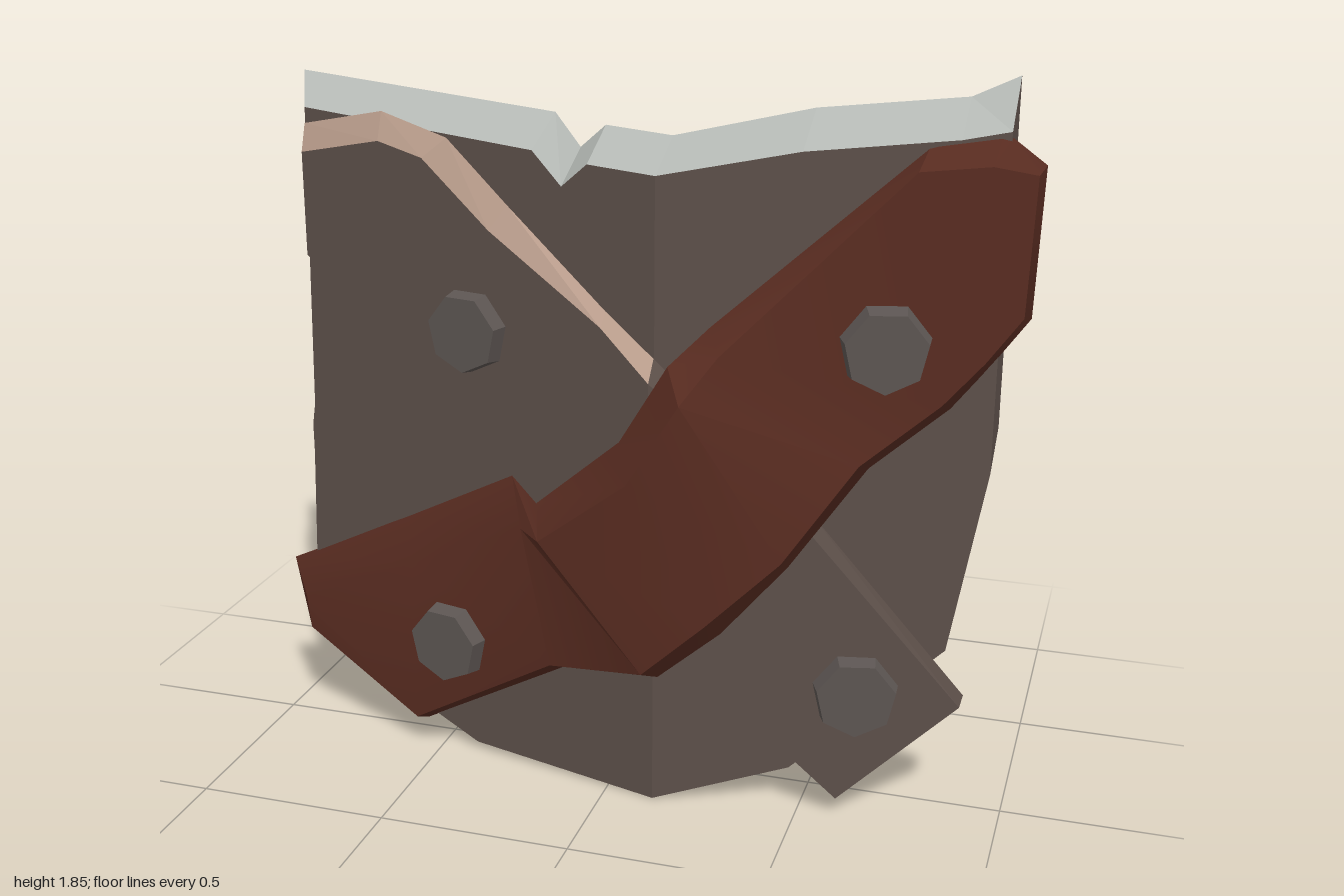
import * as THREE from 'three';
import { toCreasedNormals } from 'three/addons/utils/BufferGeometryUtils.js';

const mat = (name, color) => Object.assign(new THREE.MeshStandardMaterial({ color }), { name });

const FOLD = 0.13;
// Surface depth of the folded plate at x
const plateFront = x => 0.2 - (x < FOLD ? (FOLD - x) * 0.22 : (x - FOLD) * 0.25);
const plateBack = x => 0.05 - (x < FOLD ? (FOLD - x) * 0.22 : (x - FOLD) * 0.225);

// Folded slab from matching front and back outlines (counter-clockwise).
// Point 0 and point `low` lie on the fold; isWorn(i) picks material 1 for edge i.
function foldedSlab(front, back, low, isWorn) {
  const n = front.length, body = [], worn = [];
  const ids = front.map((_, i) => i);
  for (const half of [ids.slice(0, low + 1), [...ids.slice(low), 0]]) {
    const outline = half.map(i => new THREE.Vector2(front[i][0], front[i][1]));
    for (const t of THREE.ShapeUtils.triangulateShape(outline, [])) {
      const ccw = THREE.ShapeUtils.area(t.map(k => outline[k])) > 0;
      const [a, b, c] = (ccw ? t : [t[0], t[2], t[1]]).map(k => half[k]);
      body.push(front[a], front[b], front[c], back[a], back[c], back[b]);
    }
  }
  for (let i = 0; i < n; i++) {
    const j = (i + 1) % n;
    (isWorn(i) ? worn : body).push(front[i], back[i], back[j], front[i], back[j], front[j]);
  }
  const geo = new THREE.BufferGeometry();
  geo.setAttribute('position', new THREE.Float32BufferAttribute([...body, ...worn].flat(), 3));
  geo.addGroup(0, body.length, 0);
  geo.addGroup(body.length, worn.length, 1);
  geo.computeVertexNormals();
  return geo;
}

// Loft through four-cornered sections with capped ends
function loft(sections) {
  const p = [], quad = (a, b, c, d) => p.push(a, b, c, a, c, d);
  for (let s = 0; s < sections.length - 1; s++) {
    for (let k = 0; k < 4; k++) {
      const m = (k + 1) % 4;
      quad(sections[s][k], sections[s][m], sections[s + 1][m], sections[s + 1][k]);
    }
  }
  const [a, b, c, d] = sections[0], [e, f, g, h] = sections[sections.length - 1];
  quad(d, c, b, a);
  quad(e, f, g, h);
  const geo = new THREE.BufferGeometry();
  geo.setAttribute('position', new THREE.Float32BufferAttribute(p.flat(), 3));
  return toCreasedNormals(geo, 0.6);
}

export function createModel() {
  const root = new THREE.Group();
  const iron = mat('dark iron', 0x5c4f49);
  const edge = mat('bare steel edge', 0xb4b8b4);
  const leather = mat('red brown strap', 0x572b20);
  const tan = mat('worn tan edge', 0xb89c8b);
  const metal = mat('bolt metal', 0x5c5552);
  const add = (name, geo, material, parent = root) => {
    const mesh = new THREE.Mesh(geo, material);
    mesh.name = name;
    parent.add(mesh);
    return mesh;
  };

  // Shield plate: front x, y, back x, y
  const plate = [
    [0.13, 1.64, 0.13, 1.71], [-0.05, 1.65, -0.05, 1.72], [-0.12, 1.59, -0.12, 1.66],
    [-0.2, 1.67, -0.19, 1.74], [-0.87, 1.72, -0.95, 1.79], [-0.89, 0.92, -0.97, 0.93],
    [-0.9, 0.86, -0.91, 0.86], [-0.9, 0.78, -0.98, 0.78], [-0.92, 0.25, -1, 0.32],
    [-0.4, 0.03, -0.4, 0.1], [0.13, 0.01, 0.13, 0.08], [0.47, 0.11, 0.47, 0.18],
    [0.84, 0.45, 0.84, 0.5], [0.92, 0.92, 0.92, 1], [0.92, 1.75, 0.92, 1.86],
    [0.81, 1.73, 0.81, 1.81], [0.46, 1.7, 0.46, 1.78],
  ];
  add('shieldPlate', foldedSlab(
    plate.map(([x, y]) => [x, y, plateFront(x)]),
    plate.map(([, , x, y]) => [x, y, plateBack(x)]),
    10, i => i < 4 || i === 5 || i === 6 || i >= 14), [iron, edge]);

  // Diagonal iron band with a worn upper bevel
  const band = [
    [0.13, 1.15, 0.13, 1.2], [0, 1.27, 0, 1.3], [-0.31, 1.47, -0.27, 1.53],
    [-0.5, 1.63, -0.44, 1.68], [-0.63, 1.66, -0.63, 1.73], [-0.87, 1.61, -0.87, 1.68],
    [-0.87, 1.34, -0.87, 1.34], [-0.48, 1.05, -0.48, 1.05], [0.13, 0.52, 0.13, 0.52],
    [0.6, 0.06, 0.6, 0.06], [0.89, 0.33, 0.89, 0.33], [0.5, 0.8, 0.5, 0.82],
  ];
  const lift = x => (x < FOLD ? 0.05 - (FOLD - x) * 0.02 : 0.05 + (x - FOLD) * 0.035);
  add('diagonalBand', foldedSlab(
    band.map(([x, y]) => [x, y, plateFront(x) + lift(x)]),
    band.map(([, , x, y]) => [x, y, plateFront(x) + 0.005]),
    8, i => i < 5), [iron, tan]);

  // Cross strap stations: upper front, lower front, lower back, upper back
  const stations = [
    [[-0.92, 0.37, 0.03], [-0.91, 0.28, 0.03], [-0.95, 0.25], [-0.99, 0.45]],
    [[-0.56, 0.55, 0.12], [-0.56, 0.1, 0.12], [-0.56, 0.06], [-0.6, 0.65]],
    [[-0.22, 0.72, 0.2], [-0.14, 0.36, 0.22], [-0.13, 0.32], [-0.27, 0.83]],
    [[-0.15, 0.72, 0.27], [0.14, 0.43, 0.34], [0.16, 0.39], [-0.18, 0.79]],
    [[0.1, 0.92, 0.34], [0.3, 0.58, 0.34], [0.32, 0.53], [0.06, 1]],
    [[0.23, 1.13, 0.34], [0.47, 0.74, 0.28], [0.47, 0.7], [0.18, 1.2]],
    [[0.3, 1.23, 0.25], [0.63, 0.97, 0.18], [0.64, 0.94], [0.26, 1.28]],
    [[0.73, 1.67, 0.13], [0.81, 1.12, 0.12], [0.82, 1.09], [0.74, 1.71]],
    [[0.89, 1.68, 0.07], [0.9, 1.22, 0.08], [0.91, 1.2], [0.9, 1.75]],
    [[0.99, 1.66, 0.04], [0.98, 1.33, 0.06], [0.99, 1.31], [1, 1.67]],
  ];
  add('crossStrap', loft(stations.map(([uf, lf, lb, ub]) =>
    [uf, lf, [...lb, lf[2] - 0.08], [...ub, uf[2] - 0.08]])), leather);

  // Bolt heads, square to their half of the plate
  for (const [x, y, z] of [[-0.37, 1.21, 0.14], [-0.44, 0.36, 0.16],
    [0.68, 1.26, 0.17], [0.64, 0.36, 0.15]]) {
    const geo = new THREE.CylinderGeometry(0.1, 0.113, 0.07, 7).rotateX(Math.PI / 2);
    const bolt = add('bolt', geo.toNonIndexed(), metal);
    bolt.geometry.computeVertexNormals();
    bolt.position.set(x, y, z);
    bolt.rotation.y = x < FOLD ? -0.22 : 0.24;
  }

  // Rear handles: profiles as (distance from plate, height from middle)
  const W = 0.115;
  const profile = pts => new THREE.ExtrudeGeometry(
    new THREE.Shape(pts.map(p => new THREE.Vector2(...p))),
    { depth: W, bevelEnabled: false }).translate(0, 0, -W / 2);
  const outer = [[0.13, 0.295], [0.19, 0.26], [0.245, 0.14]];
  const inner = [[0.09, 0.22], [0.14, 0.2], [0.175, 0.11]];
  const flip = ([d, y]) => [d, -y];
  const grip = [...outer, ...outer.map(flip).reverse(), ...inner.map(flip), ...[...inner].reverse()];
  const foot = [[-0.02, 0.43], [0.07, 0.43], [0.07, 0.33], [0.13, 0.295], [0.09, 0.22],
    [0.04, 0.29], [-0.02, 0.31]];
  for (const [x, z, turn] of [[-0.64, -0.12, 0.98], [0.32, 0.0, 1.82]]) {
    const handle = new THREE.Group();
    handle.name = 'handle';
    add('handleGrip', profile(grip), leather, handle);
    add('upperFoot', profile(foot), metal, handle);
    add('lowerFoot', profile(foot.map(flip)), metal, handle);
    handle.position.set(x, 0.925, z);
    handle.rotation.y = turn;
    root.add(handle);
  }
  return root;
}
